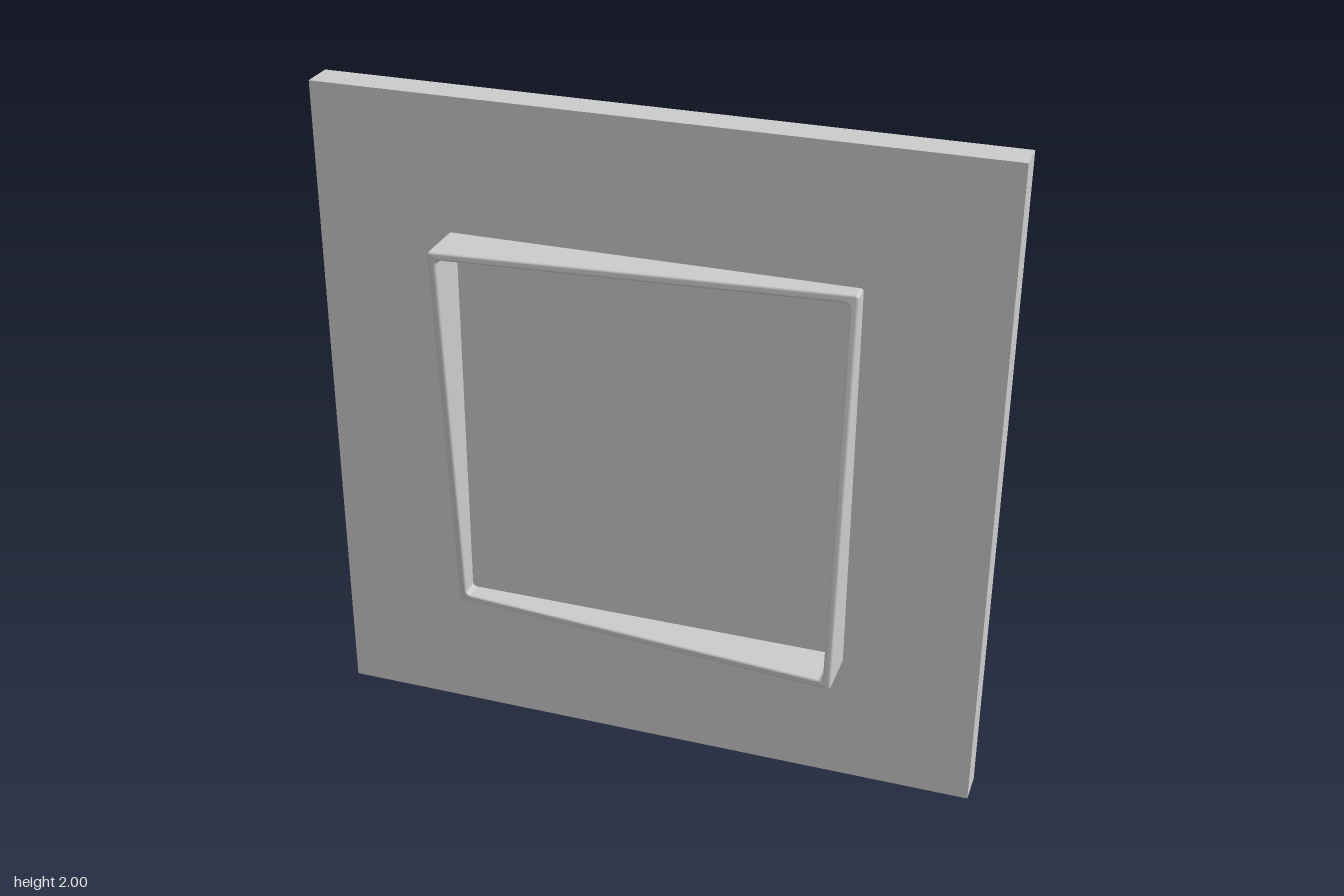
import * as THREE from 'three';

const PANEL_FRONT = -0.025;   // z of the panel's front face
const OUTER = 0.6, INNER = 0.575;
const FILLET = 0.007;         // rounding of the rim's top edges

// Saddle surface followed by the top of the rim: opposite corners rise and dip
const rimHeight = (x, y) => 0.075 - 0.05 * (x / OUTER) * (y / OUTER);

// Counter-clockwise rounded square in the xy plane
function roundedSquare(half, radius, steps = 6) {
  const points = [];
  for (let corner = 0; corner < 4; corner++) {
    const start = corner * Math.PI / 2;
    const cx = (corner === 0 || corner === 3 ? 1 : -1) * (half - radius);
    const cy = (corner < 2 ? 1 : -1) * (half - radius);
    for (let i = 0; i <= steps; i++) {
      const a = start + (i / steps) * Math.PI / 2;
      points.push([cx + radius * Math.cos(a), cy + radius * Math.sin(a)]);
    }
  }
  return points;
}

// Thin wall swept round the square, with a twisted, rounded top
function rimGeometry() {
  const rings = [];
  const addRing = (half, radius, drop) => rings.push(
    roundedSquare(half, radius).map(([x, y]) =>
      [x, y, drop === null ? PANEL_FRONT : rimHeight(x, y) - drop]));

  addRing(OUTER, 0.01, null);
  const arc = 4;
  for (let i = 0; i <= arc; i++) {
    const a = (i / arc) * Math.PI / 2;
    const inset = FILLET * (1 - Math.cos(a));
    addRing(OUTER - inset, 0.01 - inset, FILLET * (1 - Math.sin(a)));
  }
  for (let i = arc; i >= 0; i--) {
    const a = (i / arc) * Math.PI / 2;
    const inset = FILLET * (1 - Math.cos(a));
    addRing(INNER + inset, 0.015 + inset, FILLET * (1 - Math.sin(a)));
  }
  addRing(INNER, 0.015, null);

  const n = rings[0].length, index = [];
  for (let j = 0; j < rings.length - 1; j++) {
    for (let i = 0; i < n; i++) {
      const k = (i + 1) % n;
      const a = j * n + i, b = j * n + k, c = (j + 1) * n + k, d = (j + 1) * n + i;
      index.push(a, b, c, a, c, d);
    }
  }
  const geometry = new THREE.BufferGeometry();
  geometry.setAttribute('position', new THREE.Float32BufferAttribute(rings.flat(2), 3));
  geometry.setIndex(index);
  geometry.computeVertexNormals();
  return geometry;
}

export function createModel() {
  const group = new THREE.Group();
  const material = new THREE.MeshStandardMaterial({ color: 0xcccccc });

  // Flat square backing panel
  const panel = new THREE.Mesh(new THREE.BoxGeometry(2, 2, 0.1), material);
  panel.name = 'backPanel';
  panel.position.set(0, 1, PANEL_FRONT - 0.05);
  group.add(panel);

  // Raised square rim
  const rim = new THREE.Mesh(rimGeometry(), material);
  rim.name = 'twistedRim';
  rim.position.y = 1;
  group.add(rim);

  return group;
}
